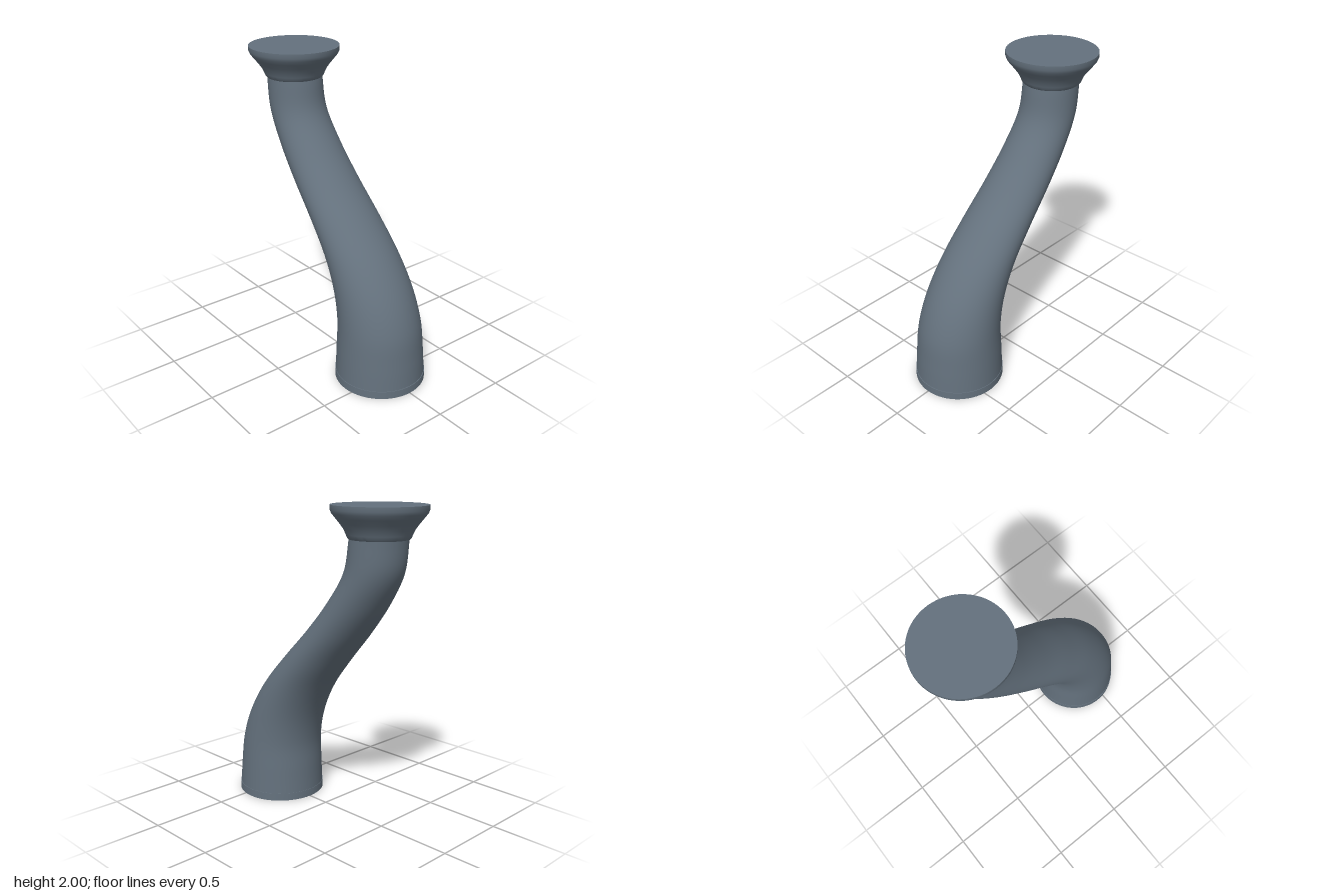
import * as THREE from 'three';
import { toCreasedNormals } from 'three/addons/utils/BufferGeometryUtils.js';

export function createModel() {
  const model = new THREE.Group();
  model.name = 'curvedColumn';
  const slate = new THREE.MeshStandardMaterial({ color: 0x64717d });
  slate.name = 'slate';
  const SEGMENTS = 64;
  const SHIFT = 0.443; // z offset of the base (front) and capital (back)

  const add = (name, geometry, z = 0) => {
    const mesh = new THREE.Mesh(toCreasedNormals(geometry, 0.6), slate);
    mesh.name = name;
    mesh.position.z = z;
    model.add(mesh);
  };

  // Shaft: level circular sections, [radius, height, z], every 0.2 up
  const spine = new THREE.CatmullRomCurve3([
    [0.288, 0, 0.443], [0.278, 0.2, 0.438], [0.265, 0.4, 0.424],
    [0.25, 0.6, 0.36], [0.235, 0.8, 0.24], [0.221, 1.0, 0.068],
    [0.207, 1.2, -0.12], [0.194, 1.4, -0.285], [0.182, 1.6, -0.407],
    [0.177, 1.81, -0.443],
  ].map(p => new THREE.Vector3(...p)), false, 'catmullrom', 0.5);
  const shaft = new THREE.CylinderGeometry(1, 1, 1, SEGMENTS, 54, true);
  const pos = shaft.attributes.position;
  for (let i = 0; i < pos.count; i++) {
    const s = spine.getPoint(THREE.MathUtils.clamp(pos.getY(i) + 0.5, 0, 1));
    pos.setXYZ(i, pos.getX(i) * s.x, s.y, pos.getZ(i) * s.x + s.z);
  }
  add('shaft', shaft);

  // Base: thin straight foot
  const base = new THREE.CylinderGeometry(0.289, 0.29, 0.05, SEGMENTS);
  base.translate(0, 0.025, 0);
  add('base', base, SHIFT);

  // Capital: flared bell with a flat top
  const profile = [
    [0, 1.802], [0.18, 1.802], [0.188, 1.81], [0.196, 1.83], [0.21, 1.86],
    [0.234, 1.893], [0.26, 1.925], [0.281, 1.951], [0.29, 1.972], [0.29, 2], [0, 2],
  ].map(p => new THREE.Vector2(...p));
  add('capital', new THREE.LatheGeometry(profile, SEGMENTS), -SHIFT);

  return model;
}
